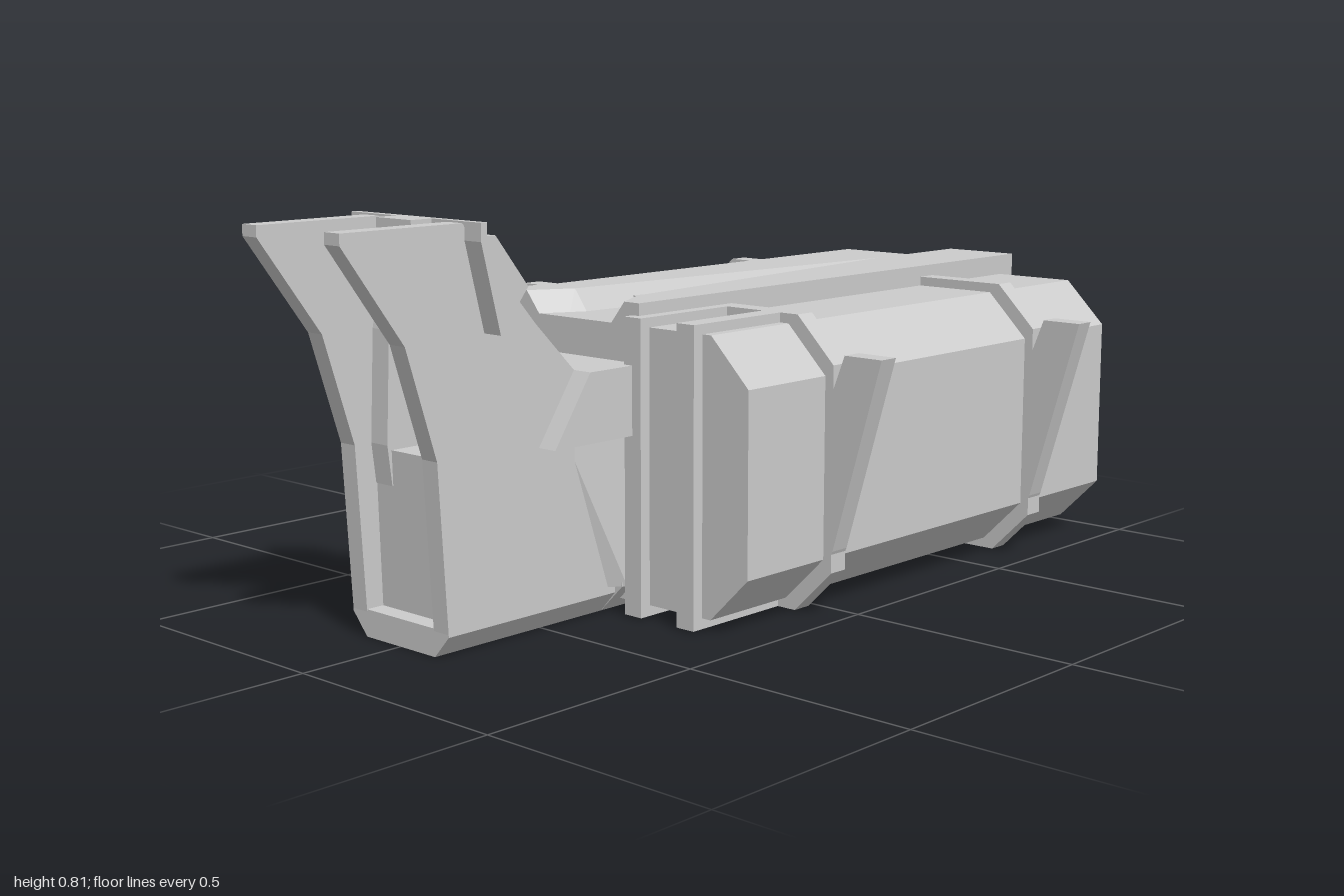
import * as THREE from 'three';
import { ConvexGeometry } from 'three/addons/geometries/ConvexGeometry.js';

const material = new THREE.MeshStandardMaterial({ color: 0xcccccc, flatShading: true });

export function createModel() {
  const model = new THREE.Group();

  const add = (name, geometry) => {
    const mesh = new THREE.Mesh(geometry, material);
    mesh.name = name;
    model.add(mesh);
  };
  const extrude = (points, depth) => new THREE.ExtrudeGeometry(
    new THREE.Shape(points.map(([a, b]) => new THREE.Vector2(a, b))), { depth, bevelEnabled: false });
  // Outline in x, y pushed from z0 to z1
  const alongZ = (name, points, z0, z1) => add(name, extrude(points, z1 - z0).translate(0, 0, z0));
  // Outline in z, y pushed from x0 to x1
  const alongX = (name, points, x0, x1) =>
    add(name, extrude(points, x1 - x0).rotateY(-Math.PI / 2).translate(x1, 0, 0));
  const box = (name, x0, x1, y0, y1, z0, z1) => add(name,
    new THREE.BoxGeometry(x1 - x0, y1 - y0, z1 - z0).translate((x0 + x1) / 2, (y0 + y1) / 2, (z0 + z1) / 2));
  const mirrored = (half) => [...half, ...half.map(([x, y]) => [-x, y]).reverse()];
  const octagon = (w, y0, y1, c) => mirrored([[w - c, y0], [w, y0 + c], [w, y1 - c], [w - c, y1]]);

  // Hull and keel
  alongZ('hull', octagon(0.465, 0.025, 0.585, 0.095), -0.95, 0.3);
  alongZ('keel', mirrored([[0.1, 0], [0.16, 0.06], [0.16, 0.4]]), -1, 0.33);

  // Spine top, with a V groove that deepens towards the front
  const sections = [[-0.82, 0, 0, 0.63], [-0.71, 0, 0, 0.63], [0.21, 0.09, 0, 0.51], [0.3, 0.14, 0.04, 0.505]]
    .map(([z, groove, floor, depth]) => [
      [-0.18, 0.37, z], [-0.18, 0.63, z], [-groove, 0.63, z], [-floor, depth, z],
      [floor, depth, z], [groove, 0.63, z], [0.18, 0.63, z], [0.18, 0.37, z]]);
  const position = [];
  const quad = (a, b, c, d) => position.push(...a, ...b, ...c, ...a, ...c, ...d);
  for (let s = 0; s < 3; s++) {
    for (let i = 0; i < 8; i++) {
      const j = (i + 1) % 8, a = sections[s], b = sections[s + 1];
      quad(a[i], b[i], b[j], a[j]);
    }
  }
  for (const cap of [[0, 1, 2, 3], [0, 3, 4, 7], [4, 5, 6, 7]]) {
    quad(...cap.map((i) => sections[0][i]));
    quad(...cap.map((i) => sections[3][i]).reverse());
  }
  const spine = new THREE.BufferGeometry();
  spine.setAttribute('position', new THREE.Float32BufferAttribute(position, 3));
  spine.computeVertexNormals();
  add('groovedSpine', spine);

  // Rear of the spine, cut away on one side
  alongZ('spineTail', [[-0.18, 0.37], [0.18, 0.37], [0.18, 0.63], [0, 0.63], [-0.05, 0.56],
    [-0.07, 0.56], [-0.14, 0.47], [-0.18, 0.47]], -1, -0.82);

  // Hoops with flared fins
  for (const z of [0.025, -0.675]) {
    alongZ('hoop', octagon(0.485, 0.003, 0.605, 0.092), z, z + 0.045);
    for (const s of [1, -1]) {
      const fin = [[0.47, 0.1], [0.488, 0.14], [0.602, 0.535], [0.512, 0.535], [0.485, 0.465], [0.47, 0.465]];
      alongZ('fin', fin.map(([x, y]) => [s * x, y]), z, z + 0.045);
    }
  }

  // Ribs wrapped over the front of the hull
  for (const s of [1, -1]) {
    for (const x of [0.1855, 0.326]) {
      box('frontRib', s * x - 0.0225, s * x + 0.0225, 0.003, 0.605, 0.06, 0.325);
    }
  }

  // Neck block and the flare below it
  alongX('neckBlock', [[0.28, 0.37], [0.535, 0.37], [0.44, 0.51], [0.28, 0.51]], -0.185, 0.185);
  const flare = [];
  for (const s of [1, -1]) {
    for (const [x, y, z] of [[0.165, 0.06, 0.32], [0.165, 0.37, 0.32], [0.14, 0.06, 0.35],
      [0.14, 0.33, 0.44], [0.14, 0.37, 0.44]]) flare.push(new THREE.Vector3(s * x, y, z));
  }
  add('neckFlare', new ConvexGeometry(flare));

  // Prow: bevelled foot, recessed wall and paired side plates ending in horns
  alongZ('prowFoot', mirrored([[0.1, 0], [0.14, 0.045], [0.14, 0.055]]), 0.32, 0.77);
  alongX('recessedWall', [[0.32, 0.05], [0.73, 0.05], [0.74, 0.37], [0.32, 0.37]], -0.1, 0.1);
  const plate = [[0.32, 0.05], [0.77, 0.05], [0.79, 0.38], [0.86, 0.6], [1, 0.79], [1, 0.812],
    [0.72, 0.812], [0.7, 0.79], [0.54, 0.61], [0.44, 0.51], [0.32, 0.51]];
  const strut = [[0.4, 0.3], [0.74, 0.3], [0.75, 0.38], [0.74, 0.6], [0.72, 0.7], [0.7, 0.79],
    [0.54, 0.61], [0.44, 0.51], [0.4, 0.51]];
  for (const s of [1, -1]) {
    const span = (a, b) => (s > 0 ? [a, b] : [-b, -a]);
    alongX('prowPlate', plate, ...span(0.098, 0.14));
    alongX('strut', strut, ...span(0.05, 0.1));
  }

  // Crossbar joining the horns
  alongX('crossbar', [[0.6, 0.69], [0.67, 0.605], [0.715, 0.78], [0.715, 0.815], [0.7, 0.815],
    [0.7, 0.79], [0.68, 0.79]], -0.185, 0.185);
  box('crossbarLip', -0.05, 0.05, 0.79, 0.815, 0.7, 0.765);

  return model;
}
